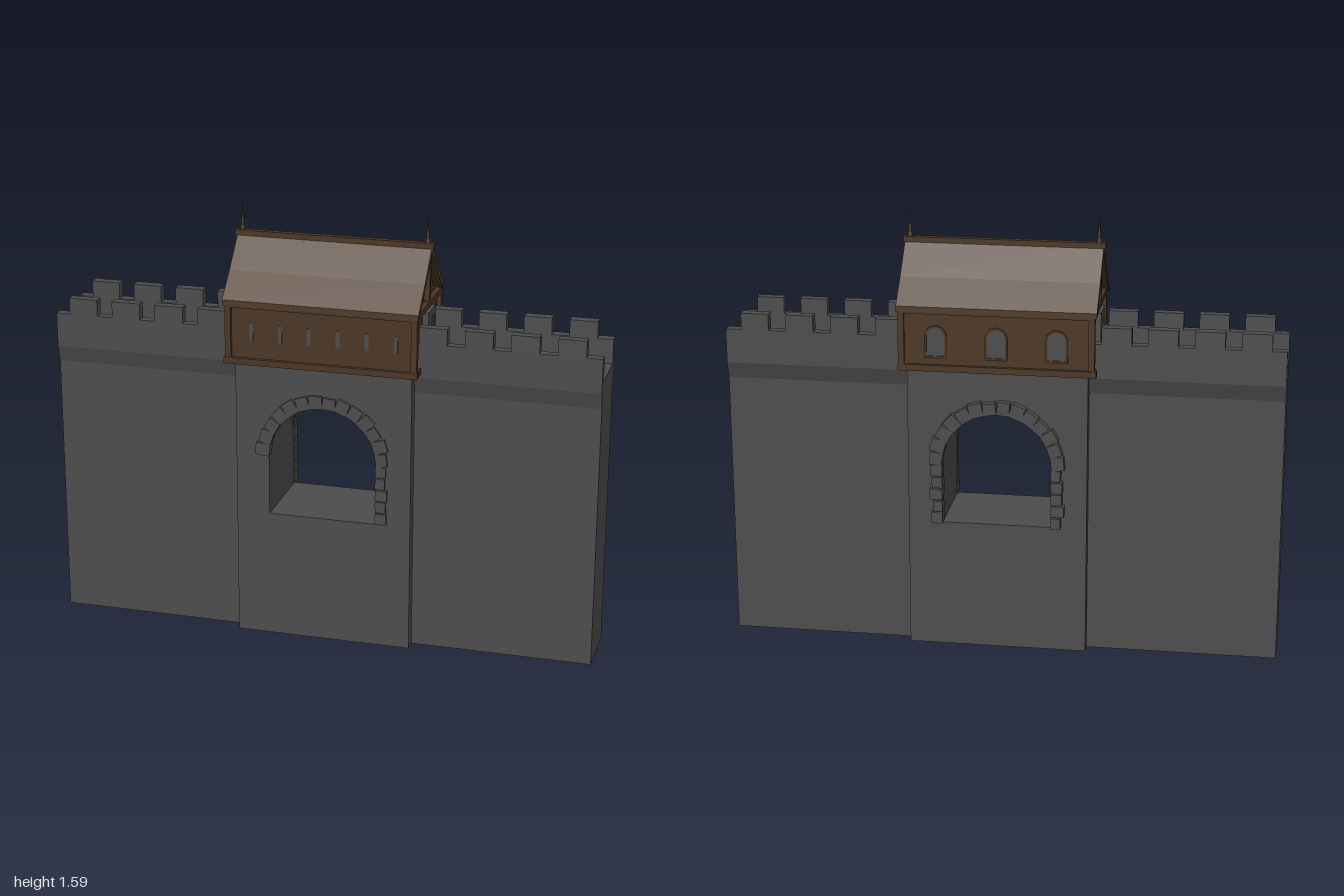
import * as THREE from 'three';

const stone = new THREE.MeshStandardMaterial({ color: 0x4d4d4d });
stone.name = 'stone';
const timber = new THREE.MeshStandardMaterial({ color: 0x4c3725 });
timber.name = 'timber';
const roofing = new THREE.MeshStandardMaterial({ color: 0x4f3c2b });
roofing.name = 'roofing';

const CX = 0.013; // centre line of the gate tower

// Box given by its minimum and maximum corners
function box(parent, name, mat, x0, x1, y0, y1, z0, z1) {
  const m = new THREE.Mesh(new THREE.BoxGeometry(x1 - x0, y1 - y0, z1 - z0), mat);
  m.position.set((x0 + x1) / 2, (y0 + y1) / 2, (z0 + z1) / 2);
  m.name = name;
  parent.add(m);
  return m;
}

// Cross-section of [z, y] points swept along x
function sweep(parent, name, mat, pts, x0, x1) {
  const shape = new THREE.Shape(pts.map(([z, y]) => new THREE.Vector2(-z, y)));
  const g = new THREE.ExtrudeGeometry(shape, { depth: x1 - x0, bevelEnabled: false });
  g.rotateY(Math.PI / 2);
  const m = new THREE.Mesh(g, mat);
  m.position.x = x0;
  m.name = name;
  parent.add(m);
}

// Round-headed outline, used for the gate, windows and doors
function arch(path, cx, y0, spring, r) {
  path.moveTo(cx - r, y0);
  path.lineTo(cx + r, y0);
  path.lineTo(cx + r, spring);
  path.absarc(cx, spring, r, 0, Math.PI, false);
  path.lineTo(cx - r, y0);
  return path;
}

function makeRandom(seed) {
  return () => (seed = (seed * 16807) % 2147483647) / 2147483647;
}

function createWalls() {
  const g = new THREE.Group();
  g.name = 'curtainWalls';
  const profile = [
    [0.11, 0], [0.11, 0.975], [0.125, 1.035], [0.125, 1.16], [0.09, 1.16], [0.09, 1.07],
    [-0.105, 1.07], [-0.105, 1.16], [-0.143, 1.16], [-0.143, 1.035], [-0.125, 0.975], [-0.125, 0],
  ];
  sweep(g, 'rightWall', stone, profile, -1, -0.3);
  sweep(g, 'leftWall', stone, profile, 0.33, 1);
  // Battlements on both parapets
  for (const [z0, z1] of [[0.09, 0.125], [-0.143, -0.105]]) {
    for (let i = 0; i < 4; i++) {
      const a = -0.948 + i * 0.163, b = 0.943 - i * 0.163;
      box(g, 'merlon', stone, a, a + 0.106, 1.16, 1.22, z0, z1);
      box(g, 'merlon', stone, b - 0.1, b, 1.16, 1.22, z0, z1);
    }
  }
  return g;
}

function createTower() {
  const g = new THREE.Group();
  g.name = 'gateTower';
  const x0 = -0.31, x1 = 0.337, z0 = -0.165, z1 = 0.155, t = 0.03, top = 1.055, sill = 0.475;
  box(g, 'base', stone, x0, x1, 0, sill, z0, z1);
  box(g, 'sideWall', stone, x0, CX - 0.2, sill, top, z0 + t, z1 - t);
  box(g, 'sideWall', stone, CX + 0.2, x1, sill, top, z0 + t, z1 - t);
  // Front and back faces with the arched opening
  const face = new THREE.Shape();
  face.moveTo(x0, sill);
  face.lineTo(CX - 0.2, sill);
  face.lineTo(CX - 0.2, 0.7);
  face.absarc(CX, 0.7, 0.2, Math.PI, 0, true);
  face.lineTo(CX + 0.2, sill);
  face.lineTo(x1, sill);
  face.lineTo(x1, top);
  face.lineTo(x0, top);
  const geo = new THREE.ExtrudeGeometry(face, { depth: t, bevelEnabled: false, curveSegments: 20 });
  for (const z of [z0, z1 - t]) {
    const m = new THREE.Mesh(geo, stone);
    m.position.z = z;
    m.name = 'archedWall';
    g.add(m);
  }
  return g;
}

function createArchStones() {
  const g = new THREE.Group();
  g.name = 'archStones';
  const rnd = makeRandom(71);
  for (const [zc, depth, jambs] of [[0.148, 0.03, [1]], [-0.172, 0.04, [-1, 1]]]) {
    // Voussoirs around the head
    for (let i = 0; i < 14; i++) {
      const a = ((i + 0.5) / 14) * Math.PI, w = 0.042 + rnd() * 0.012;
      const r = 0.197 + w / 2;
      const m = new THREE.Mesh(new THREE.BoxGeometry(w, 0.044 + rnd() * 0.006, depth + rnd() * 0.008), stone);
      m.position.set(CX + Math.cos(a) * r, 0.7 + Math.sin(a) * r, zc);
      m.rotation.z = a + (rnd() - 0.5) * 0.12;
      m.name = 'voussoir';
      g.add(m);
    }
    // Stones down the jambs
    for (const s of jambs) {
      for (let i = 0; i < 5; i++) {
        const w = 0.034 + rnd() * 0.014;
        const m = new THREE.Mesh(new THREE.BoxGeometry(w, 0.04, depth + rnd() * 0.008), stone);
        m.position.set(CX + s * (0.196 + w / 2), 0.499 + i * 0.045, zc);
        m.rotation.z = (rnd() - 0.5) * 0.08;
        m.name = 'jambStone';
        g.add(m);
      }
    }
  }
  return g;
}

function createHouse() {
  const g = new THREE.Group();
  g.name = 'gatehouse';
  const x0 = -0.335, x1 = 0.363, mid = (x0 + x1) / 2;
  box(g, 'houseWalls', timber, x0 + 0.015, x1 - 0.015, 1.052, 1.27, -0.182, 0.182);
  // Timber frame: rails along the long sides, posts and end rails
  for (const s of [-1, 1]) {
    const za = s > 0 ? 0.172 : -0.194, zb = za + 0.022;
    box(g, 'bottomRail', timber, x0 - 0.006, x1 + 0.002, 1.05, 1.073, za - 0.002, zb + 0.002);
    box(g, 'topRail', timber, x0, x1, 1.258, 1.283, za, zb);
    for (const x of [x0, x1 - 0.022]) box(g, 'cornerPost', timber, x, x + 0.022, 1.05, 1.28, za, zb);
    const xe = s > 0 ? x1 - 0.02 : x0;
    box(g, 'endRail', timber, xe, xe + 0.02, 1.05, 1.07, -0.18, 0.18);
    box(g, 'tieBeam', timber, xe, xe + 0.02, 1.258, 1.28, -0.19, 0.19);
    box(g, 'kingPost', timber, xe, xe + 0.02, 1.28, 1.46, -0.01, 0.01);
    // Stone door surround with a timber door on each gable end
    const xd = s > 0 ? x1 - 0.015 : x0 - 0.007;
    box(g, 'doorSurround', stone, xd, xd + 0.022, 1.07, 1.25, -0.06, 0.05);
    const door = new THREE.Mesh(new THREE.ShapeGeometry(arch(new THREE.Shape(), 0, 1.09, 1.195, 0.035)), timber);
    door.position.set(s > 0 ? xd + 0.024 : xd - 0.002, 0, -0.005);
    door.rotation.y = s * Math.PI / 2;
    door.name = 'door';
    g.add(door);
  }
  // Narrow slits in front
  for (let i = 0; i < 6; i++) {
    const x = -0.24 + i * 0.105;
    box(g, 'arrowSlit', stone, x - 0.007, x + 0.007, 1.137, 1.2, 0.179, 0.184);
  }
  // Arched windows at the back, each with a timber surround
  for (const x of [-0.2, mid, 0.23]) {
    const pane = new THREE.Mesh(new THREE.ShapeGeometry(arch(new THREE.Shape(), 0, 1.105, 1.175, 0.032)), stone);
    pane.position.set(x, 0, -0.184);
    pane.rotation.y = Math.PI;
    pane.name = 'window';
    const ring = arch(new THREE.Shape(), 0, 1.097, 1.175, 0.04);
    ring.holes.push(arch(new THREE.Path(), 0, 1.105, 1.175, 0.032));
    const frame = new THREE.Mesh(new THREE.ExtrudeGeometry(ring, { depth: 0.008, bevelEnabled: false }), timber);
    frame.position.set(x, 0, -0.188);
    frame.name = 'windowFrame';
    g.add(pane, frame);
  }
  return g;
}

function createRoof() {
  const g = new THREE.Group();
  g.name = 'roof';
  const x0 = -0.342, x1 = 0.368;
  // Kinked roof shell with recessed gable walls
  sweep(g, 'roofShell', roofing, [
    [0.198, 1.285], [0.108, 1.37], [0, 1.484], [-0.108, 1.37], [-0.198, 1.285],
    [-0.198, 1.265], [-0.178, 1.278], [-0.1, 1.348], [0, 1.455], [0.1, 1.348], [0.178, 1.278], [0.198, 1.265],
  ], x0, x1);
  sweep(g, 'gableWalls', timber, [[0.18, 1.268], [0.1, 1.35], [0, 1.458], [-0.1, 1.35], [-0.18, 1.268]], x0 + 0.03, x1 - 0.03);
  box(g, 'ridgeBeam', timber, -0.35, 0.375, 1.47, 1.491, -0.012, 0.012);
  // Finials at both ends of the ridge
  const pts = [[0.009, 0], [0.009, 0.012], [0.005, 0.02], [0.007, 0.035], [0.004, 0.045], [0.001, 0.096]];
  const geo = new THREE.LatheGeometry(pts.map(([r, y]) => new THREE.Vector2(r, y)), 8);
  for (const x of [-0.325, 0.351]) {
    const m = new THREE.Mesh(geo, timber);
    m.position.set(x, 1.489, 0);
    m.name = 'finial';
    g.add(m);
  }
  return g;
}

export function createModel() {
  const model = new THREE.Group();
  model.name = 'castleGate';
  model.add(createWalls(), createTower(), createArchStones(), createHouse(), createRoof());
  return model;
}
